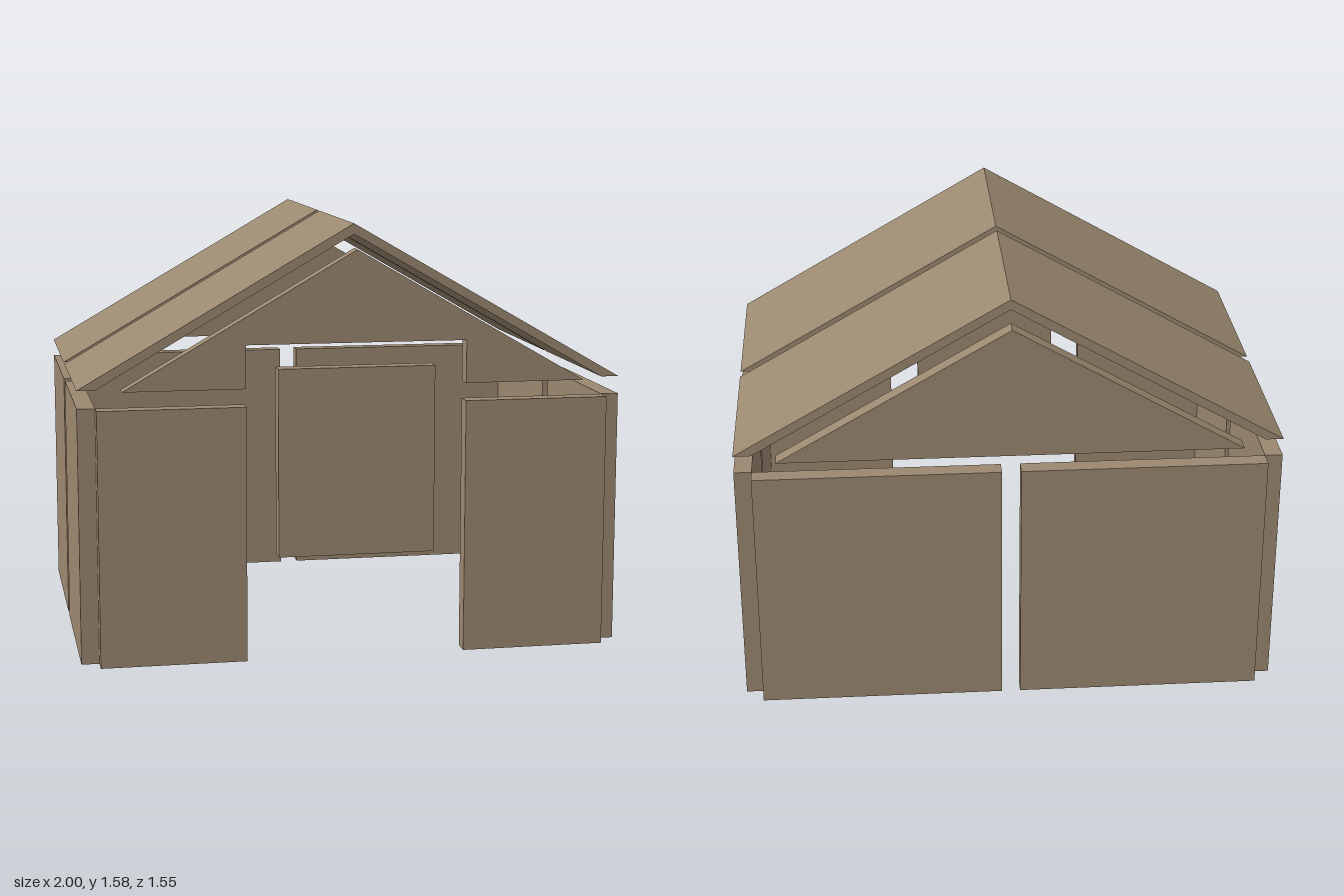
import * as THREE from 'three';

const material = new THREE.MeshStandardMaterial({ color: 0x9b8870, flatShading: true });
const WALL_H = 0.935, T = 0.065;      // wall height and panel thickness
const INNER_X = 0.935, INNER_Z = 0.71; // inner faces of the side and end walls

export function createModel() {
  const model = new THREE.Group();

  function add(name, geometry) {
    const mesh = new THREE.Mesh(geometry, material);
    mesh.name = name;
    model.add(mesh);
  }

  // Box panel given by its limits on each axis
  function panel(name, [x0, x1], [y0, y1], [z0, z1]) {
    const g = new THREE.BoxGeometry(x1 - x0, y1 - y0, z1 - z0);
    add(name, g.translate((x0 + x1) / 2, (y0 + y1) / 2, (z0 + z1) / 2));
  }

  // Outline in x, y extruded from z0 to z1
  function extrude(name, points, z0, z1) {
    const shape = new THREE.Shape(points.map(([x, y]) => new THREE.Vector2(x, y)));
    const g = new THREE.ExtrudeGeometry(shape, { depth: z1 - z0, bevelEnabled: false });
    add(name, g.translate(0, 0, z0));
  }

  const span = (side, a, b) => (side > 0 ? [a, b] : [-b, -a]);
  const height = [0, WALL_H];
  const front = [INNER_Z, INNER_Z + T];
  const back = [-INNER_Z - T, -INNER_Z];

  for (const side of [1, -1]) {
    const label = side > 0 ? 'left' : 'right';

    // Walls: two panels per side, separated by narrow gaps
    panel(label + 'FrontSideWall', span(side, INNER_X, 1), height, [0.035, INNER_Z]);
    panel(label + 'BackSideWall', span(side, INNER_X, 1), height, [-INNER_Z, -0.035]);
    panel(label + 'FrontWall', span(side, 0.403, INNER_X), height, front);
    panel(label + 'BackWall', span(side, 0.035, INNER_X), height, back);

    // Roof slabs, cut level at the eaves and mitred at the ridge
    const slab = [[side, 1], [0, 1.578], [0, 1.54], [side * 0.934, 1]];
    extrude(label + 'FrontRoof', slab, 0.024, INNER_Z);
    extrude(label + 'BackRoof', slab, -INNER_Z, -0.024);
  }

  // Door hanging in the front opening
  panel('door', [-0.287, 0.287], [0.381, 1.068], front);

  // Gables: the front one is notched above the doorway
  extrude('frontGable', [
    [-0.845, 1], [-0.403, 1], [-0.403, 1.157], [0.403, 1.157],
    [0.403, 1], [0.845, 1], [0, 1.49],
  ], ...front);
  extrude('backGable', [[-0.845, 1], [0.845, 1], [0, 1.49]], ...back);

  return model;
}
